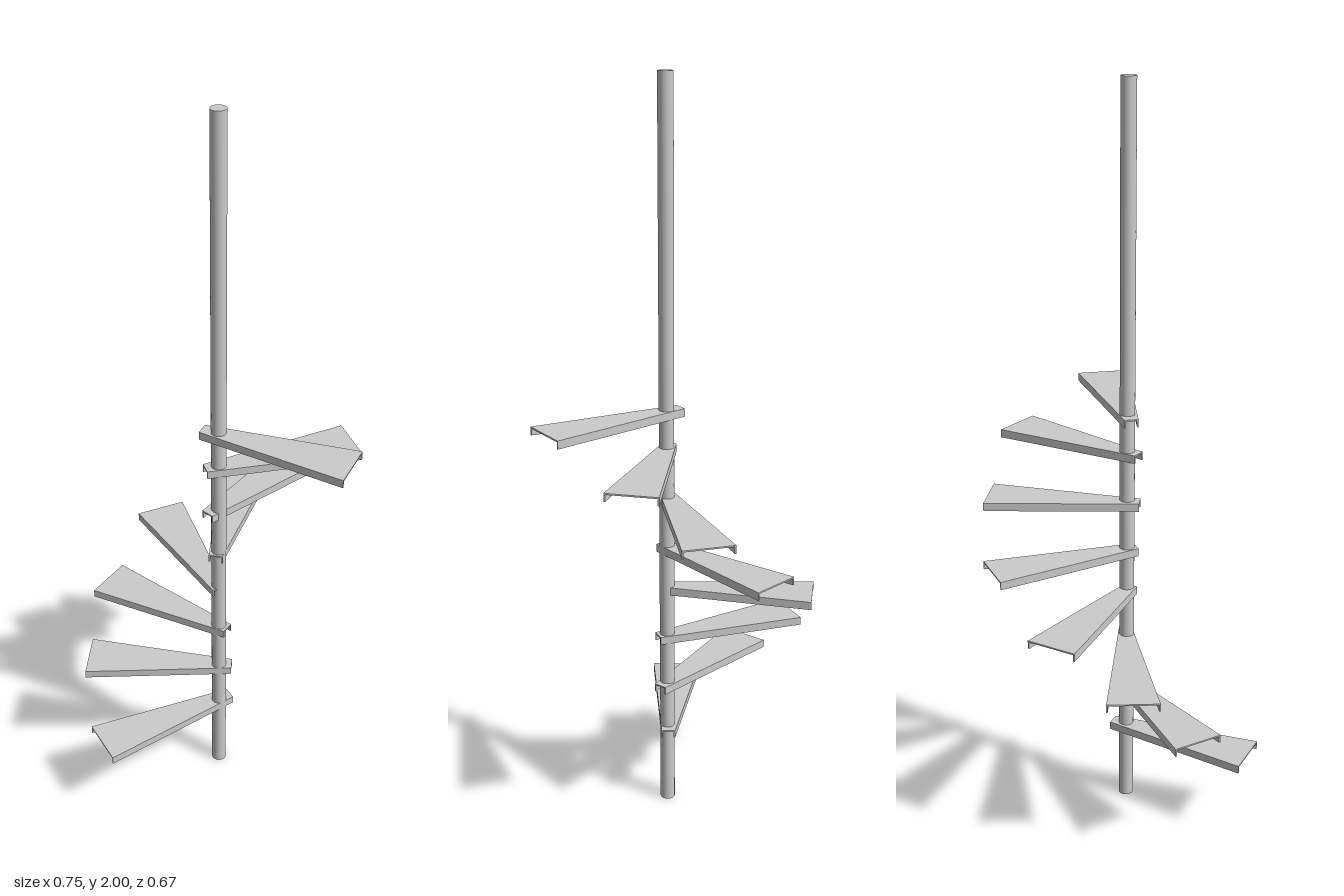
import * as THREE from 'three';

const LENGTH = 0.407, HEIGHT = 0.022, WALL = 0.004;
const OUTER = 0.069, INNER = 0.0185; // half widths of a tread at its two ends

// Folded-sheet tread: a U channel open below, tapering toward the pole.
// The outer end sits at z = 0 facing +z, the top at y = 0.
function treadGeometry() {
  const w = OUTER, i = OUTER - WALL;
  const section = new THREE.Shape([
    [-w, -HEIGHT], [-i, -HEIGHT], [-i, -WALL], [i, -WALL],
    [i, -HEIGHT], [w, -HEIGHT], [w, 0], [-w, 0],
  ].map(([x, y]) => new THREE.Vector2(x, y)));
  const geo = new THREE.ExtrudeGeometry(section, { depth: LENGTH, bevelEnabled: false });
  geo.translate(0, 0, -LENGTH);
  // Narrow the channel while keeping its wall thickness
  const p = geo.attributes.position;
  for (let k = 0; k < p.count; k++) {
    const x = p.getX(k);
    const shrink = (OUTER - INNER) * (-p.getZ(k) / LENGTH);
    p.setX(k, x - Math.sign(x) * shrink);
  }
  geo.computeVertexNormals();
  return geo;
}

export function createModel() {
  const model = new THREE.Group();
  model.name = 'spiralStair';
  const material = new THREE.MeshStandardMaterial({ color: 0xcccccc });

  // Central pole
  const pole = new THREE.Mesh(new THREE.CylinderGeometry(0.02, 0.02, 2, 32), material);
  pole.name = 'pole';
  pole.position.set(0.005, 1, 0.045);
  model.add(pole);

  // Treads: middle of the outer edge (x, z), top height, outward direction (x, z)
  const treads = [
    [-0.2765, 0.2825, 0.229, -0.756, 0.655],
    [-0.3635, 0.0875, 0.364, -0.992, 0.123],
    [-0.3495, -0.09, 0.509, -0.936, -0.353],
    [-0.2345, -0.2655, 0.651, -0.599, -0.8],
    [0.0015, -0.337, 0.769, 0, -1],
    [0.188, -0.279, 0.907, 0.51, -0.86],
    [0.3215, -0.1475, 1.045, 0.855, -0.519],
    [0.3575, 0.1225, 1.147, 0.977, 0.21],
  ];
  const geo = treadGeometry();
  treads.forEach(([x, z, top, dx, dz], k) => {
    const tread = new THREE.Mesh(geo, material);
    tread.name = `tread${k + 1}`;
    tread.position.set(x, top, z);
    tread.rotation.y = Math.atan2(dx, dz);
    model.add(tread);
  });

  return model;
}
